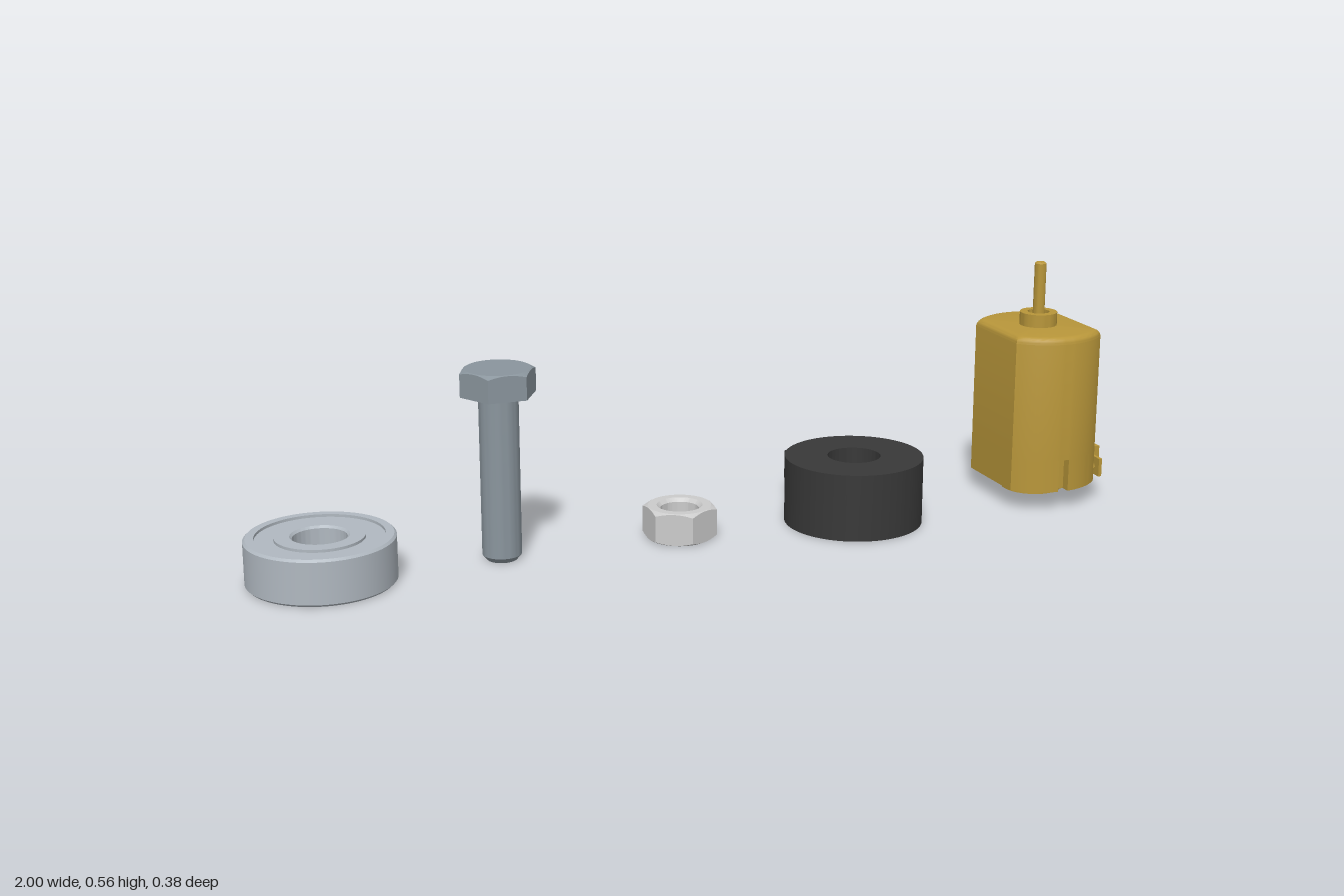
import * as THREE from 'three';
import { toCreasedNormals } from 'three/addons/utils/BufferGeometryUtils.js';

const TAU = Math.PI * 2;

// Sweeps a profile of [radius, y] points round the y axis; the profile may vary with the angle.
function radial(profileAt, n = 96) {
  const pos = [], index = [];
  const m = profileAt(0).length;
  for (let i = 0; i < n; i++) {
    const t = (i / n) * TAU;
    for (const [r, y] of profileAt(t)) pos.push(r * Math.cos(t), y, r * Math.sin(t));
  }
  for (let i = 0; i < n; i++) {
    for (let j = 0; j < m - 1; j++) {
      const a = i * m + j, c = ((i + 1) % n) * m + j;
      index.push(a, a + 1, c, c, a + 1, c + 1);
    }
  }
  const g = new THREE.BufferGeometry();
  g.setAttribute('position', new THREE.Float32BufferAttribute(pos, 3));
  g.setIndex(index);
  return toCreasedNormals(g, 0.45);
}

const round = (points, n) => radial(() => points, n);

// Distance from the centre of a hexagon to its side, with corners at angle 0, 60, ...
function hexRadius(t, flat) {
  const step = Math.PI / 3;
  const a = (((t % step) + step) % step) - step / 2;
  return flat / Math.cos(a);
}

// Hexagonal outline from y0 to y1 with conical chamfers on the corners.
function hexSide(t, flat, y0, y1, bottomChamfer) {
  const r = hexRadius(t, flat), land = flat * 0.97;
  const drop = (r - land) * 0.55;
  return [
    [bottomChamfer ? land : r, y0],
    [r, y0 + (bottomChamfer ? drop : 0)],
    [r, y1 - drop],
    [land, y1],
  ];
}

export function createModel() {
  const model = new THREE.Group();
  model.name = 'hardwareSet';
  const mat = (color) => new THREE.MeshStandardMaterial({ color });
  const bearingMat = mat(0xb0b8c0), boltMat = mat(0x8a959d), nutMat = mat(0xcccccc);
  const blackMat = mat(0x383838), goldMat = mat(0xb8963a);

  const group = (name, x, z = 0) => {
    const g = new THREE.Group();
    g.name = name;
    g.position.set(x, 0, z);
    model.add(g);
    return g;
  };
  const part = (parent, name, geometry, material, x = 0, y = 0, z = 0) => {
    const mesh = new THREE.Mesh(geometry, material);
    mesh.name = name;
    mesh.position.set(x, y, z);
    parent.add(mesh);
    return mesh;
  };

  // Ball bearing: both rings with a recessed shield on each face
  const bearing = group('bearing', -0.84);
  const H = 0.102, c = 0.005, d = 0.006;
  part(bearing, 'bearingRings', round([
    [0.058, c], [0.058 + c, 0], [0.096, 0], [0.096, d], [0.137, d], [0.137, 0],
    [0.16 - c, 0], [0.16, c], [0.16, H - c], [0.16 - c, H],
    [0.137, H], [0.137, H - d], [0.096, H - d], [0.096, H],
    [0.058 + c, H], [0.058, H - c], [0.058, c],
  ]), bearingMat);

  // Bolt standing on its tip
  const bolt = group('bolt', -0.446);
  part(bolt, 'boltShank', round([[0, 0], [0.033, 0], [0.043, 0.012], [0.043, 0.37]], 48), boltMat);
  part(bolt, 'boltHead', radial((t) => [
    [0, 0.369], ...hexSide(t, 0.0727, 0.369, 0.427, false), [0, 0.427],
  ]), boltMat);

  // Nut with a countersunk bore
  const nut = group('nut', -0.035);
  part(nut, 'hexNut', radial((t) => [
    [0.043, 0.008], [0.051, 0], ...hexSide(t, 0.0727, 0, 0.074, true),
    [0.051, 0.074], [0.043, 0.066], [0.043, 0.008],
  ]), nutMat).rotation.y = Math.PI / 6;

  // Black collar with a tab at the back
  const collar = group('collar', 0.376, 0.033);
  part(collar, 'collarRing', round([
    [0.06, 0], [0.157, 0], [0.157, 0.153], [0.06, 0.153], [0.06, 0],
  ]), blackMat);
  part(collar, 'collarTab', new THREE.BoxGeometry(0.15, 0.067, 0.09), blackMat, 0, 0.0765, -0.178);

  // Motor can: a cylinder with two flat sides and a rounded top edge
  const motor = group('motor', 0.858);
  const R = 0.146, cornerAngle = (41.25 * Math.PI) / 180, W = R * Math.cos(cornerAngle);
  const canRadius = (t, inset) =>
    Math.min(R - inset, (W - inset) / Math.max(Math.abs(Math.cos(t)), 1e-6));
  const bottom = 0.045, slotTop = 0.12, top = 0.411, fillet = 0.016;
  part(motor, 'canBody', radial((t) => {
    const p = [[0, slotTop], [canRadius(t, 0), slotTop]];
    for (let k = 0; k <= 5; k++) {
      const a = (k / 5) * Math.PI / 2;
      p.push([canRadius(t, fillet * (1 - Math.cos(a))), top - fillet + fillet * Math.sin(a)]);
    }
    p.push([0, top]);
    return p;
  }), goldMat);

  // Lower can with a slot at the front and at the back
  const outline = new THREE.Shape();
  const half = 0.0125, slotDepth = 0.022;
  const slotAngle = Math.asin(half / R);
  for (const s of [1, -1]) {
    const spans = [[cornerAngle, Math.PI / 2 - slotAngle], [Math.PI / 2 + slotAngle, Math.PI - cornerAngle]];
    spans.forEach(([a0, a1], k) => {
      if (k === 1) {
        outline.lineTo(s * half, s * (R - slotDepth));
        outline.lineTo(-s * half, s * (R - slotDepth));
      }
      for (let i = 0; i <= 11; i++) {
        const a = a0 + ((a1 - a0) * i) / 11;
        const x = s * R * Math.cos(a), y = s * R * Math.sin(a);
        if (s === 1 && k === 0 && i === 0) outline.moveTo(x, y);
        else outline.lineTo(x, y);
      }
    });
  }
  const lower = new THREE.ExtrudeGeometry(outline, { depth: slotTop - bottom, bevelEnabled: false });
  lower.rotateX(-Math.PI / 2);
  part(motor, 'slottedCanBase', toCreasedNormals(lower, 0.45), goldMat, 0, bottom, 0);

  // Bearing bosses and shaft
  part(motor, 'topBoss', round([
    [0.043, 0.405], [0.043, 0.441], [0.025, 0.441], [0.025, 0.433], [0, 0.433],
  ], 48), goldMat);
  part(motor, 'bottomBoss', round([
    [0, 0.023], [0.026, 0.023], [0.026, 0.017], [0.07, 0.017], [0.07, 0.05],
  ], 64), goldMat);
  part(motor, 'shaft', round([
    [0, 0], [0.01, 0], [0.0135, 0.003], [0.0135, 0.555], [0.0105, 0.558], [0, 0.558],
  ], 32), goldMat);

  // Terminal block with a drilled tab on either side
  part(motor, 'terminalBlock', new THREE.BoxGeometry(0.042, 0.059, 0.132), goldMat, 0.121, 0.0885, 0);
  const strip = new THREE.Shape();
  strip.moveTo(-0.117, 0.06);
  strip.lineTo(0.117, 0.06);
  strip.lineTo(0.117, 0.103);
  strip.lineTo(-0.117, 0.103);
  strip.closePath();
  for (const s of [-1, 1]) {
    strip.holes.push(new THREE.Path().absarc(s * 0.091, 0.0815, 0.008, 0, TAU, true));
  }
  const tabs = new THREE.ExtrudeGeometry(strip, { depth: 0.008, bevelEnabled: false, curveSegments: 10 });
  tabs.rotateY(Math.PI / 2);
  part(motor, 'terminalTabs', tabs, goldMat, 0.111, 0, 0);

  return model;
}
